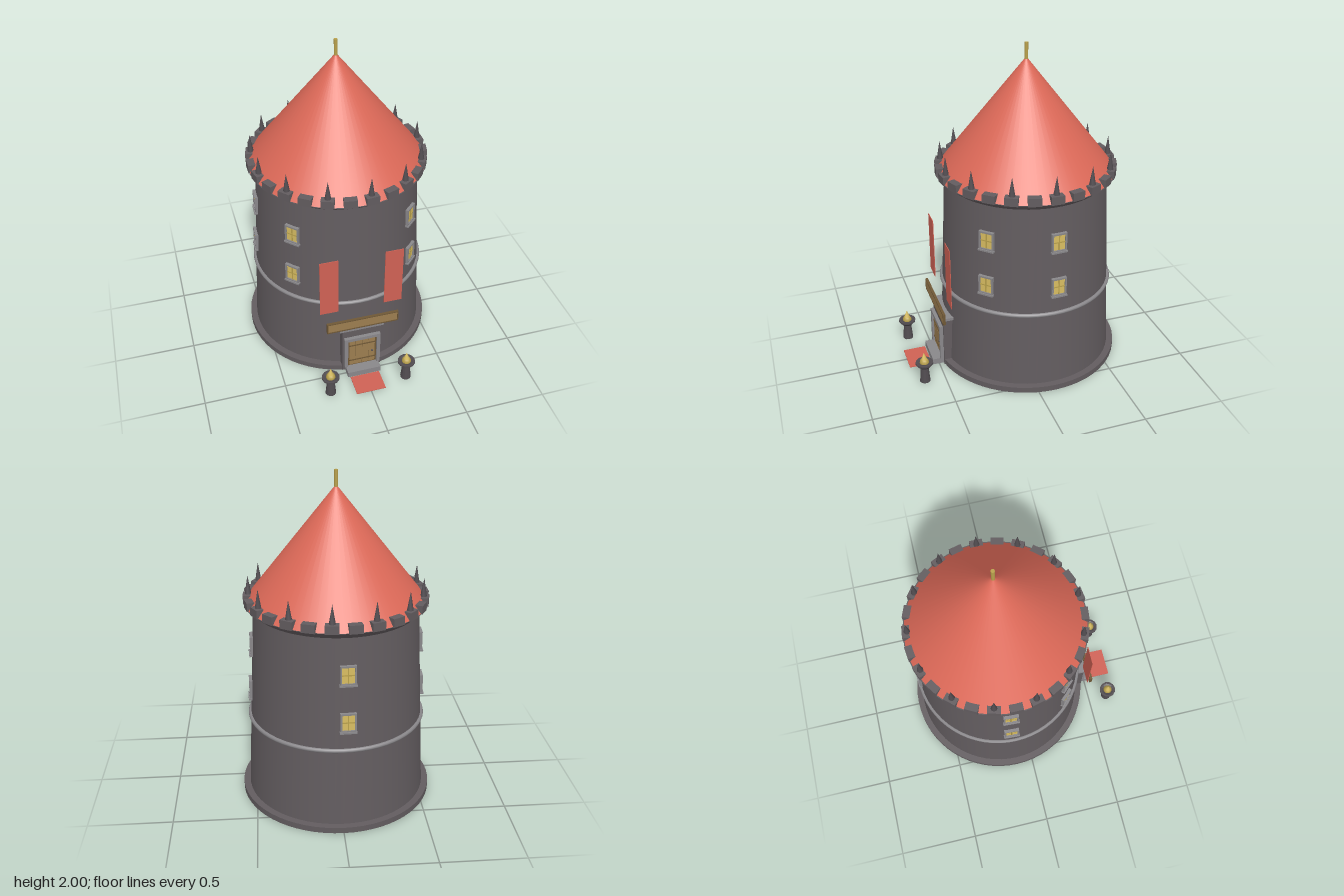
import * as THREE from 'three';

const mat = (name, color, extra = {}) => {
  const m = new THREE.MeshStandardMaterial({ color, ...extra });
  m.name = name;
  return m;
};

export function createModel() {
  const M = {
    stone: mat('dark stone', 0x625c5f),
    iron: mat('dark iron', 0x514c50),
    trim: mat('light stone trim', 0x89878a),
    roof: mat('red roof', 0xdb6857),
    cloth: mat('red cloth', 0xcf6154, { side: THREE.DoubleSide }),
    wood: mat('door wood', 0x9c7d50),
    darkWood: mat('dark wood', 0x6f5836),
    gold: mat('gold', 0xb9a14c),
    glass: mat('lit window', 0xd8bd62),
  };
  const model = new THREE.Group();
  model.name = 'tower';
  const add = (parent, name, geo, material, x = 0, y = 0, z = 0) => {
    const mesh = new THREE.Mesh(geo, material);
    mesh.name = name;
    mesh.position.set(x, y, z);
    parent.add(mesh);
    return mesh;
  };
  const group = (parent, name, x = 0, y = 0, z = 0) => {
    const g = new THREE.Group();
    g.name = name;
    g.position.set(x, y, z);
    parent.add(g);
    return g;
  };
  const box = (w, h, d) => new THREE.BoxGeometry(w, h, d);
  const drum = (top, bottom, h, sides = 64) => new THREE.CylinderGeometry(top, bottom, h, sides);

  // Round keep, all about its own axis
  const keep = group(model, 'keep', 0, 0, -0.105);
  add(keep, 'plinth', drum(0.585, 0.585, 0.036), M.stone, 0, 0.018);
  add(keep, 'wall', drum(0.49, 0.545, 1.16), M.stone, 0, 0.614);
  const band = add(keep, 'stringCourse', new THREE.TorusGeometry(0.526, 0.013, 8, 64), M.trim, 0, 0.515);
  band.rotation.x = Math.PI / 2;
  add(keep, 'corbel', drum(0.543, 0.49, 0.045), M.stone, 0, 1.213);
  add(keep, 'roof', new THREE.ConeGeometry(0.537, 0.682, 64), M.roof, 0, 1.576);
  add(keep, 'finial', drum(0.011, 0.011, 0.1, 12), M.gold, 0, 1.95);

  // Battlements, with a spike on every second merlon
  const merlonGeo = box(0.07, 0.05, 0.078);
  const spikeGeo = new THREE.ConeGeometry(0.02, 0.115, 8);
  for (let i = 0; i < 26; i++) {
    const pivot = group(keep, 'battlement');
    pivot.rotation.y = (i / 26) * Math.PI * 2;
    add(pivot, 'merlon', merlonGeo, M.stone, 0.509, 1.257, 0);
    if (i % 2 === 0) add(pivot, 'spike', spikeGeo, M.iron, 0.513, 1.335, 0);
  }

  // Windows: frame, lit pane, crossed glazing bars and a sill
  const addWindow = (degrees, y) => {
    const pivot = group(keep, 'windowPivot');
    pivot.rotation.y = THREE.MathUtils.degToRad(degrees);
    const w = group(pivot, 'window', 0, y, 0.545 - 0.0474 * (y - 0.034));
    add(w, 'pane', box(0.075, 0.1, 0.006), M.glass, 0, 0, 0.004);
    for (const s of [-1, 1]) {
      add(w, 'jamb', box(0.01, 0.115, 0.03), M.trim, s * 0.041, 0, 0);
      add(w, 'lintel', box(0.092, 0.01, 0.03), M.trim, 0, s * 0.053, 0);
    }
    add(w, 'mullion', box(0.007, 0.1, 0.006), M.gold, 0, 0, 0.007);
    add(w, 'transom', box(0.075, 0.007, 0.006), M.gold, 0, 0, 0.007);
    add(w, 'sill', box(0.1, 0.01, 0.04), M.trim, 0, -0.06, 0.002);
  };
  for (const degrees of [45, 93, 183, 267, 314])
    for (const y of [0.69, 0.975]) addWindow(degrees, y);

  // Entrance: stone portal, light frame, plank door and step
  const entrance = group(model, 'entrance');
  add(entrance, 'portal', box(0.25, 0.33, 0.09), M.stone, 0, 0.165, 0.425);
  add(entrance, 'portalCap', box(0.28, 0.018, 0.1), M.trim, 0, 0.339, 0.425);
  for (const s of [-1, 1])
    add(entrance, 'frameJamb', box(0.022, 0.235, 0.03), M.trim, s * 0.104, 0.157, 0.477);
  add(entrance, 'frameLintel', box(0.23, 0.022, 0.03), M.trim, 0, 0.266, 0.477);
  add(entrance, 'step', box(0.212, 0.038, 0.13), M.trim, 0, 0.019, 0.475);
  add(entrance, 'doorBack', box(0.186, 0.217, 0.012), M.darkWood, 0, 0.147, 0.471);
  for (let i = 0; i < 4; i++)
    add(entrance, 'plank', box(0.04, 0.2, 0.006), M.wood, (i - 1.5) * 0.0415, 0.147, 0.478);
  for (const y of [0.085, 0.21])
    add(entrance, 'doorBand', box(0.166, 0.008, 0.006), M.darkWood, 0, y, 0.481);
  add(entrance, 'doorKnob', new THREE.SphereGeometry(0.007, 10, 8), M.iron, 0.065, 0.14, 0.485);

  // Blank sign board with a dark border
  const sign = group(model, 'sign', 0, 0.4, 0.485);
  add(sign, 'board', box(0.44, 0.064, 0.01), M.wood);
  for (const s of [-1, 1]) {
    add(sign, 'borderRail', box(0.45, 0.007, 0.016), M.darkWood, 0, s * 0.033, 0);
    add(sign, 'borderEnd', box(0.007, 0.07, 0.016), M.darkWood, s * 0.222, 0, 0);
  }

  // Doormat
  add(model, 'carpet', box(0.186, 0.005, 0.14), M.cloth, 0, 0.0035, 0.617);

  // Banners and fire bowls, one on each side of the door
  const bowlProfile = [[0, 0], [0.033, 0], [0.031, 0.02], [0.024, 0.1], [0.034, 0.105],
    [0.054, 0.127], [0.054, 0.138], [0.042, 0.138], [0, 0.125]]
    .map(([r, y]) => new THREE.Vector2(r, y));
  const bowlMat = M.iron;
  for (const s of [-1, 1]) {
    add(model, 'banner', box(0.113, 0.395, 0.004), M.cloth, s * 0.2, 0.687, 0.445);
    const brazier = group(model, 'brazier', s * 0.243, 0, 0.625);
    const bowl = new THREE.LatheGeometry(bowlProfile, 12).toNonIndexed();
    bowl.computeVertexNormals();
    add(brazier, 'bowl', bowl, bowlMat);
    add(brazier, 'embers', new THREE.SphereGeometry(0.029, 12, 8), M.gold, 0, 0.137, 0);
    add(brazier, 'flame', new THREE.ConeGeometry(0.024, 0.06, 10), M.glass, 0, 0.175, 0);
  }
  return model;
}
